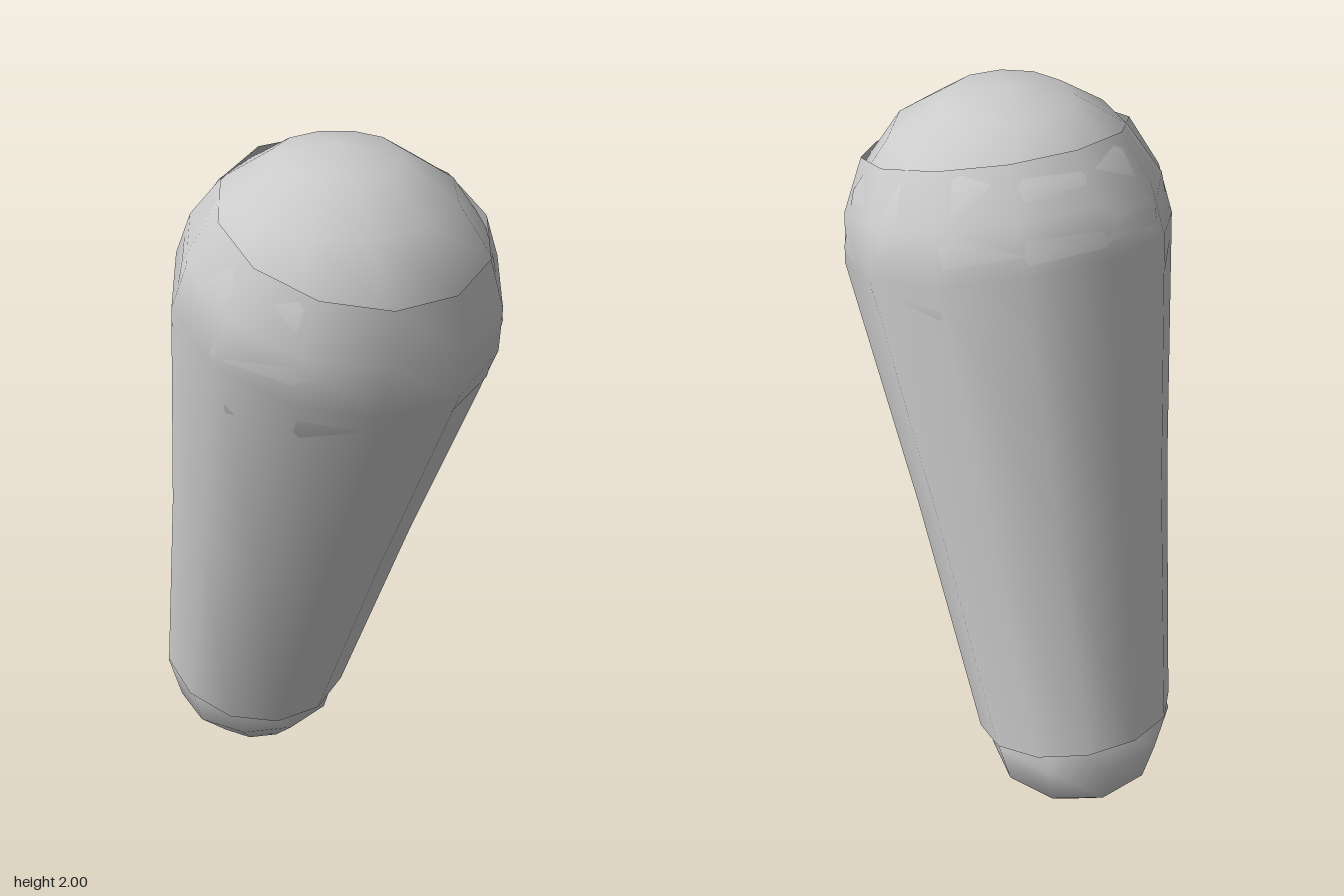
import * as THREE from 'three';

export function createModel() {
  const group = new THREE.Group();
  const material = new THREE.MeshStandardMaterial({ color: 0xcccccc, side: THREE.DoubleSide });

  const lower = new THREE.Vector3(0.065, 0.265, -0.273);
  const upper = new THREE.Vector3(0, 1.58, 0.104);

  function add(name, geometry, position) {
    const mesh = new THREE.Mesh(geometry, material);
    mesh.name = name;
    mesh.position.copy(position);
    group.add(mesh);
    return mesh;
  }

  // Rounded joints at both ends
  add('upperJoint', new THREE.SphereGeometry(0.42, 12, 8), upper);
  add('lowerJoint', new THREE.SphereGeometry(0.262, 10, 6), lower);

  // Tapered limb: starts as an open sleeve at the lower joint and closes in over the upper one
  const axis = upper.clone().sub(lower);
  const length = axis.length();
  const profile = [
    [0.267, 0],
    [0.337, length * 0.5],
    [0.422, length],
    [0.402, length + 0.13],
    [0.34, length + 0.26],
  ].map(([r, y]) => new THREE.Vector2(r, y));
  const limb = add('limb', new THREE.LatheGeometry(profile, 12), lower);
  limb.quaternion.setFromUnitVectors(new THREE.Vector3(0, 1, 0), axis.normalize());

  return group;
}
